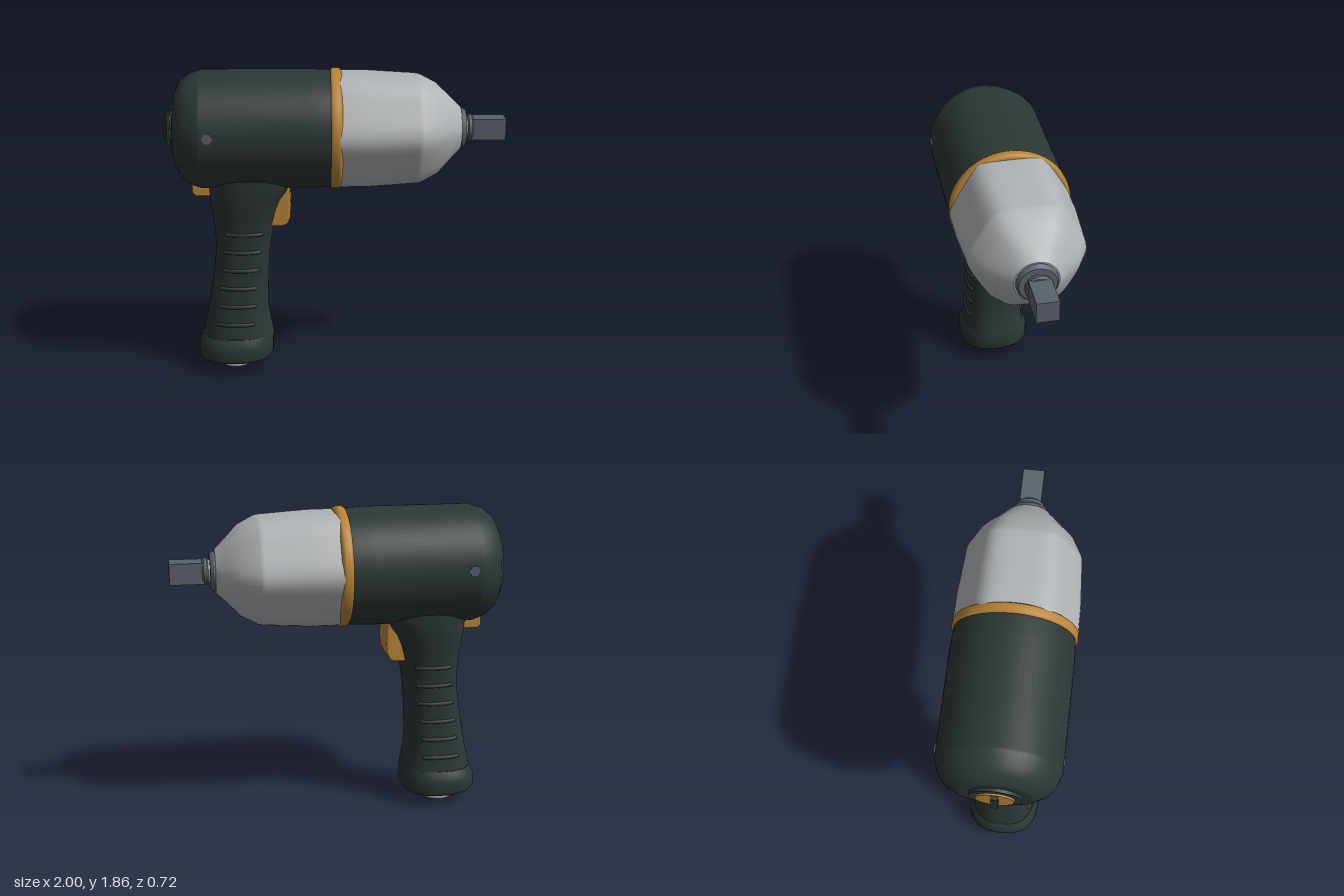
import * as THREE from 'three';

const AXIS_Y = 1.505;
const SEG = 72;

const mat = (name, color) => {
  const m = new THREE.MeshStandardMaterial({ color });
  m.name = name;
  return m;
};

// Skins closed rings; each ring is a function t -> [x, y, z], listed bottom to top
function loft(rings) {
  const pos = [], index = [];
  rings.forEach((ring, i) => {
    for (let j = 0; j < SEG; j++) {
      pos.push(...ring((j / SEG) * Math.PI * 2));
      if (i === rings.length - 1) continue;
      const k = (j + 1) % SEG;
      const a = i * SEG + j, b = i * SEG + k, c = b + SEG, d = a + SEG;
      index.push(a, b, d, b, c, d);
    }
  });
  const g = new THREE.BufferGeometry();
  g.setAttribute('position', new THREE.Float32BufferAttribute(pos, 3));
  g.setIndex(index);
  g.computeVertexNormals();
  return g;
}

// Doubles every entry so the edges between bands stay sharp
const crease = (list) => list.flatMap((p) => [p, p]);

// Round part from [height, radius] pairs
const turned = (profile) =>
  loft(profile.map(([y, r]) => (t) => [r * Math.sin(t), y, r * Math.cos(t)]));

// Lays a part built along y onto the barrel axis (+x)
const alongBarrel = (g) => g.rotateZ(-Math.PI / 2).translate(0, AXIS_Y, 0);

// Rounded-oval slice of the grip
const N = 2.5;
const soft = (v) => Math.sign(v) * Math.abs(v) ** (2 / N);
const oval = ([y, x0, x1, hz]) => (t) => [
  (x0 + x1) / 2 + ((x1 - x0) / 2) * soft(Math.sin(t)), y, hz * soft(Math.cos(t))];

// Rounded-hexagon slice, blending to a circle as round goes to 1
const hexagon = ([y, apothem, round]) => (t) => {
  let sum = 0;
  for (let k = 0; k < 3; k++) sum += Math.abs(Math.cos(t - Math.PI / 6 - (k * Math.PI) / 3)) ** 10;
  const r = apothem * (round + (1 - round) / sum ** 0.1);
  return [r * Math.sin(t), y, r * Math.cos(t)];
};

// Side profile extruded across z with a small bevel
function slab(points, halfZ, bevel) {
  const shape = new THREE.Shape(points.map(([x, y]) => new THREE.Vector2(x, y)));
  const depth = 2 * (halfZ - bevel);
  return new THREE.ExtrudeGeometry(shape, {
    depth, bevelThickness: bevel, bevelSize: bevel, bevelOffset: -bevel, bevelSegments: 3,
  }).translate(0, 0, -depth / 2);
}

export function createModel() {
  const rubber = mat('dark rubber', 0x2c3735);
  const amber = mat('amber', 0xb98538);
  const silver = mat('silver', 0xb0b3b5);
  const steel = mat('slate steel', 0x5a626a);
  const model = new THREE.Group();
  const add = (name, geometry, material) => {
    const m = new THREE.Mesh(geometry, material);
    m.name = name;
    model.add(m);
    return m;
  };

  // Motor body and rear cap
  add('motorBody', alongBarrel(turned([
    [-0.95, 0], [-0.95, 0.2], [-0.95, 0.2], [-0.945, 0.225], [-0.915, 0.283], [-0.865, 0.325],
    [-0.795, 0.35], [-0.78, 0.352], [-0.15, 0.352], [-0.02, 0.345], [-0.02, 0.345], [-0.02, 0],
  ])), rubber);
  add('rearPlate', alongBarrel(turned(crease([[-0.968, 0], [-0.968, 0.145], [-0.94, 0.15]]))), rubber);
  add('rearDial', alongBarrel(turned(crease([[-0.978, 0], [-0.978, 0.105], [-0.96, 0.11]]))), amber);
  add('dialGrip', new THREE.BoxGeometry(0.04, 0.18, 0.04).translate(-0.98, AXIS_Y, 0), rubber);

  // Hex pin ends on both flanks
  for (const side of [1, -1]) {
    const pin = new THREE.CylinderGeometry(0.033, 0.033, 0.03, 6);
    pin.rotateY(Math.PI / 6).rotateX(Math.PI / 2).translate(-0.735, 1.53, side * 0.341);
    add('sidePin', pin, steel);
  }

  // Band and hammer housing
  add('band', alongBarrel(turned([
    [-0.035, 0.3], [-0.035, 0.342], [-0.03, 0.352], [-0.018, 0.358], [0.012, 0.358],
    [0.024, 0.352], [0.033, 0.338], [0.034, 0.29],
  ])), amber);
  add('hammerHousing', alongBarrel(loft([
    [0.0, 0.328, 0], [0.04, 0.331, 0], [0.18, 0.33, 0], [0.47, 0.312, 0], [0.495, 0.308, 0.05],
    [0.595, 0.26, 0.2], [0.67, 0.188, 0.6], [0.735, 0.126, 1], [0.735, 0.126, 1], [0.735, 0, 1],
  ].map(hexagon))), silver);

  // Nose collar, neck and square drive
  add('noseCollar', alongBarrel(turned(crease([
    [0.725, 0.118], [0.745, 0.118], [0.765, 0.105], [0.765, 0.0]]))), steel);
  add('neck', alongBarrel(turned([[0.75, 0.068], [0.8, 0.068]])), silver);
  add('neckRing', alongBarrel(turned(crease([
    [0.775, 0], [0.775, 0.07], [0.783, 0.08], [0.8, 0.08], [0.81, 0.072], [0.81, 0]]))), steel);
  add('squareDrive', new THREE.BoxGeometry(0.2, 0.125, 0.125).translate(0.9, AXIS_Y, 0), steel);

  // Grip: [y, back x, front x, half width]
  const grip = [
    [0.2, -0.825, -0.385, 0.195], [0.3, -0.803, -0.405, 0.182], [0.42, -0.778, -0.418, 0.175],
    [0.6, -0.75, -0.411, 0.173], [0.76, -0.727, -0.4, 0.175], [0.86, -0.73, -0.385, 0.182],
    [0.95, -0.738, -0.363, 0.195], [1.04, -0.75, -0.342, 0.213], [1.1, -0.758, -0.317, 0.224],
    [1.15, -0.762, -0.28, 0.231], [1.2, -0.764, -0.26, 0.236], [1.3, -0.764, -0.25, 0.24],
  ];
  add('grip', loft(grip.map(oval)), rubber);

  // Ribs follow the grip surface on both sides
  const sliceAt = (y) => {
    const i = grip.findIndex((s) => s[0] > y);
    const a = grip[i - 1], b = grip[i];
    return a.map((v, k) => THREE.MathUtils.lerp(v, b[k], (y - a[0]) / (b[0] - a[0])));
  };
  for (let i = 0; i < 6; i++) {
    const y = 0.9 - i * 0.116;
    const [, x0, x1, hz] = sliceAt(y);
    const mid = -0.55 - i * 0.0125;
    for (const side of [1, -1]) {
      const path = [];
      for (let k = -3; k <= 3; k++) {
        const x = mid + k * 0.034;
        const u = Math.abs((2 * x - x0 - x1) / (x1 - x0));
        path.push(new THREE.Vector3(x, y, side * hz * (1 - u ** N) ** (1 / N)));
      }
      const curve = new THREE.CatmullRomCurve3(path);
      add('gripRib', new THREE.TubeGeometry(curve, 16, 0.012, 10), rubber);
      for (const p of [path[0], path[6]]) {
        add('ribEnd', new THREE.SphereGeometry(0.012, 10, 8).translate(p.x, p.y, p.z), rubber);
      }
    }
  }

  // Boot at the foot of the grip
  add('gripBoot', loft([
    [0.07, -0.62, -0.62, 0], [0.07, -0.81, -0.43, 0.195], [0.07, -0.81, -0.43, 0.195],
    [0.08, -0.835, -0.405, 0.212], [0.1, -0.85, -0.39, 0.222], [0.165, -0.85, -0.39, 0.222],
    [0.2, -0.835, -0.393, 0.21], [0.228, -0.82, -0.396, 0.195], [0.228, -0.82, -0.396, 0.195],
    [0.228, -0.62, -0.62, 0],
  ].map(oval)), rubber);

  // Air inlet with a bore
  add('airInlet', turned(crease([
    [0.05, 0], [0.05, 0.04], [0.008, 0.05], [0, 0.06], [0, 0.085], [0.012, 0.1], [0.08, 0.1],
  ])).translate(-0.625, 0, 0), silver);

  // Trigger and reverse lever
  add('trigger', slab([
    [-0.42, 0.932], [-0.315, 0.932], [-0.292, 0.945], [-0.274, 0.985], [-0.27, 1.06],
    [-0.274, 1.13], [-0.285, 1.2], [-0.42, 1.2],
  ], 0.115, 0.012), amber);
  add('reverseLever', slab([
    [-0.855, 1.21], [-0.855, 1.135], [-0.835, 1.115], [-0.74, 1.115], [-0.74, 1.21],
  ], 0.095, 0.01), amber);

  return model;
}
